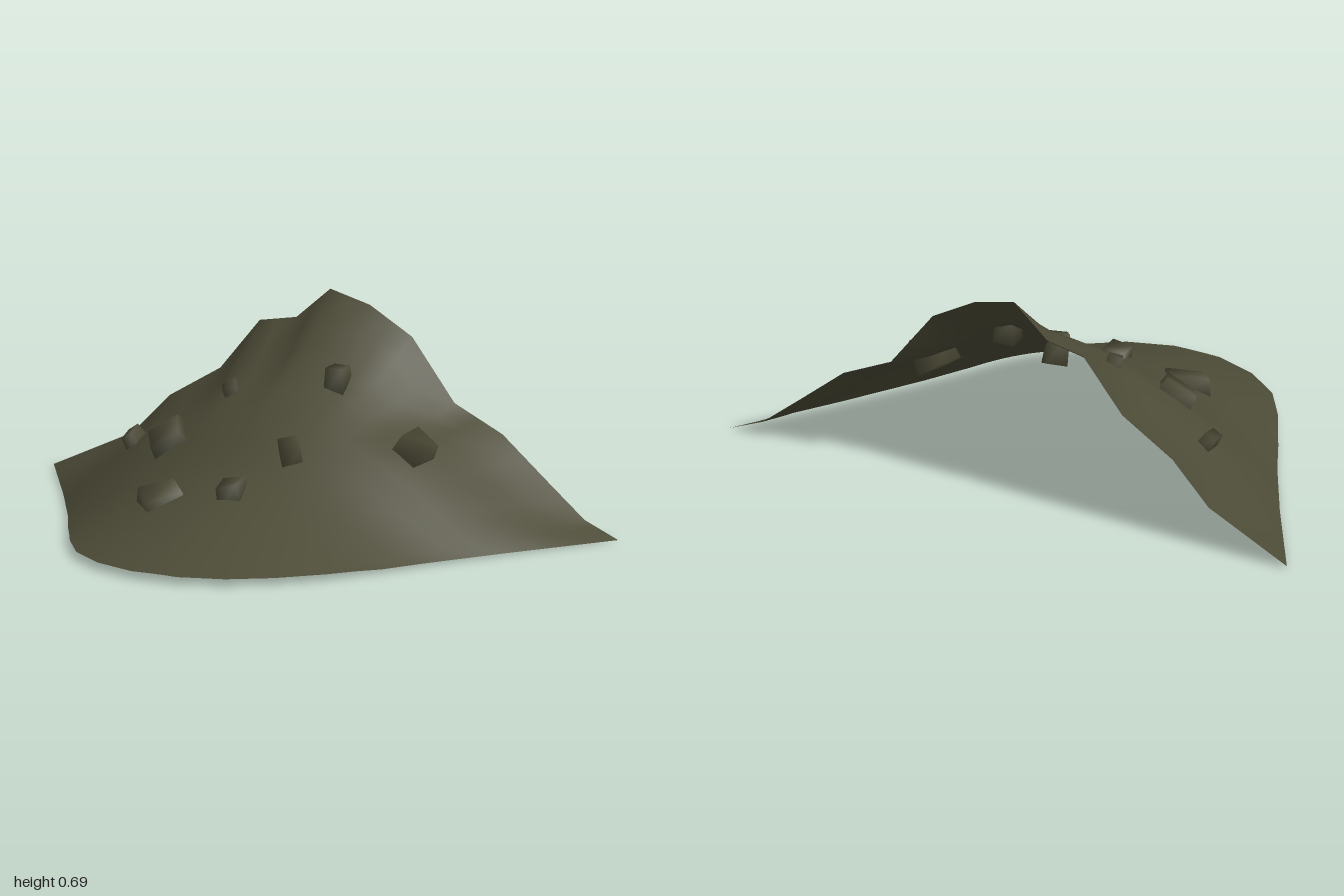
import * as THREE from 'three';
import { mergeVertices } from 'three/addons/utils/BufferGeometryUtils.js';

// Jagged back edge: [x, height]
const BACK = [[-1, 0.01], [-0.72, 0.145], [-0.59, 0.28], [-0.41, 0.39], [-0.27, 0.56], [-0.14, 0.585],
  [-0.02, 0.69], [0.12, 0.655], [0.27, 0.57], [0.42, 0.375], [0.59, 0.295], [0.74, 0.17], [0.88, 0.055], [1, 0.004]];
// Lines running from back to front: [z, value]
const HALF_WIDTH = [[-0.58, 1], [-0.25, 0.785], [0, 0.632], [0.14, 0.555], [0.31, 0.455], [0.435, 0.35], [0.525, 0.225], [0.573, 0.08]];
const CENTRE = [[-0.58, 0], [0.3, -0.005], [0.435, -0.02], [0.573, -0.02]];
const RIDGE = [[-0.58, 0.69], [-0.38, 0.51], [-0.31, 0.468], [-0.19, 0.395], [0, 0.25], [0.15, 0.185], [0.3, 0.13], [0.573, 0.028]];
const RIM = [[-0.58, 0.004], [0.15, 0.015], [0.26, 0.024], [0.573, 0.027]];

function sample(line, t) {
  if (t <= line[0][0]) return line[0][1];
  for (let i = 1; i < line.length; i++) {
    const [a, va] = line[i - 1], [b, vb] = line[i];
    if (t <= b) return va + (vb - va) * (t - a) / (b - a);
  }
  return line[line.length - 1][1];
}

// Cross-section changes from the jagged back edge to a smooth dome
function surfaceHeight(u, z) {
  const jagged = (sample(BACK, u) - 0.004) / 0.686;
  const dome = 1 - Math.abs(u) ** 1.8;
  const blend = THREE.MathUtils.smoothstep(z, -0.58, -0.12);
  const rim = sample(RIM, z);
  return rim + (sample(RIDGE, z) - rim) * THREE.MathUtils.lerp(jagged, dome, blend);
}

function slopeGeometry() {
  const us = [], positions = [], index = [];
  BACK.forEach(([x], i) => {
    if (i) us.push((x + BACK[i - 1][0]) / 2);
    us.push(x);
  });
  const rows = [-0.58, -0.5, -0.42, -0.34, -0.25, -0.17, -0.08, 0, 0.07, 0.14, 0.22, 0.31, 0.37, 0.435, 0.48, 0.525, 0.573];
  const n = us.length;
  rows.forEach((z, r) => us.forEach((u, c) => {
    positions.push(sample(CENTRE, z) + u * sample(HALF_WIDTH, z), surfaceHeight(u, z), z);
    if (r && c) {
      const d = r * n + c, b = d - n;
      index.push(b - 1, d - 1, b, b, d - 1, d);
    }
  }));
  const g = new THREE.BufferGeometry();
  g.setAttribute('position', new THREE.Float32BufferAttribute(positions, 3));
  g.setIndex(index);
  g.computeVertexNormals();
  return g;
}

// Soft-shaded block with a narrower top and uneven corners
function rockGeometry(w, h, d, seed) {
  let g = new THREE.BoxGeometry(w, h, d);
  g.deleteAttribute('normal');
  g.deleteAttribute('uv');
  g = mergeVertices(g);
  let s = seed * 7919 + 13;
  const wobble = () => {
    s = (s * 16807) % 2147483647;
    return 0.9 + 0.2 * (s / 2147483647);
  };
  const p = g.attributes.position;
  for (let i = 0; i < p.count; i++) {
    const taper = p.getY(i) > 0 ? 0.82 : 1;
    p.setXYZ(i, p.getX(i) * taper * wobble(), p.getY(i) * wobble(), p.getZ(i) * taper * wobble());
  }
  g.computeVertexNormals();
  return g;
}

// Rocks: position, size, rotation (pitch, yaw, roll)
const ROCKS = [
  [[-0.55, 0.205, -0.285], [0.05, 0.07, 0.09], [0.2, 0.15, 0.5]],
  [[-0.21, 0.39, -0.295], [0.055, 0.08, 0.06], [0.3, 0.5, 0.2]],
  [[0.135, 0.465, -0.345], [0.07, 0.085, 0.075], [0, 0.1, 0]],
  [[0.435, 0.285, -0.285], [0.11, 0.11, 0.1], [0.1, -0.2, -0.55]],
  [[-0.35, 0.26, -0.145], [0.13, 0.08, 0.13], [0.35, 0.5, 0.4]],
  [[0.115, 0.28, -0.07], [0.075, 0.1, 0.09], [0.5, 0.6, -0.1]],
  [[-0.225, 0.145, 0.14], [0.14, 0.075, 0.13], [0.25, 0.75, 0.05]],
  [[0.01, 0.19, 0.12], [0.085, 0.075, 0.1], [0.15, 0.2, 0.15]],
];

export function createModel() {
  const earth = new THREE.MeshStandardMaterial({ color: 0x4c4b37, side: THREE.DoubleSide });
  earth.name = 'dark olive earth';
  const model = new THREE.Group();
  model.name = 'rockySlope';

  const slope = new THREE.Mesh(slopeGeometry(), earth);
  slope.name = 'slope';
  model.add(slope);

  ROCKS.forEach(([position, size, rotation], i) => {
    const rock = new THREE.Mesh(rockGeometry(...size, i + 1), earth);
    rock.name = `rock${i + 1}`;
    rock.position.set(...position);
    rock.rotation.set(...rotation);
    model.add(rock);
  });
  return model;
}
